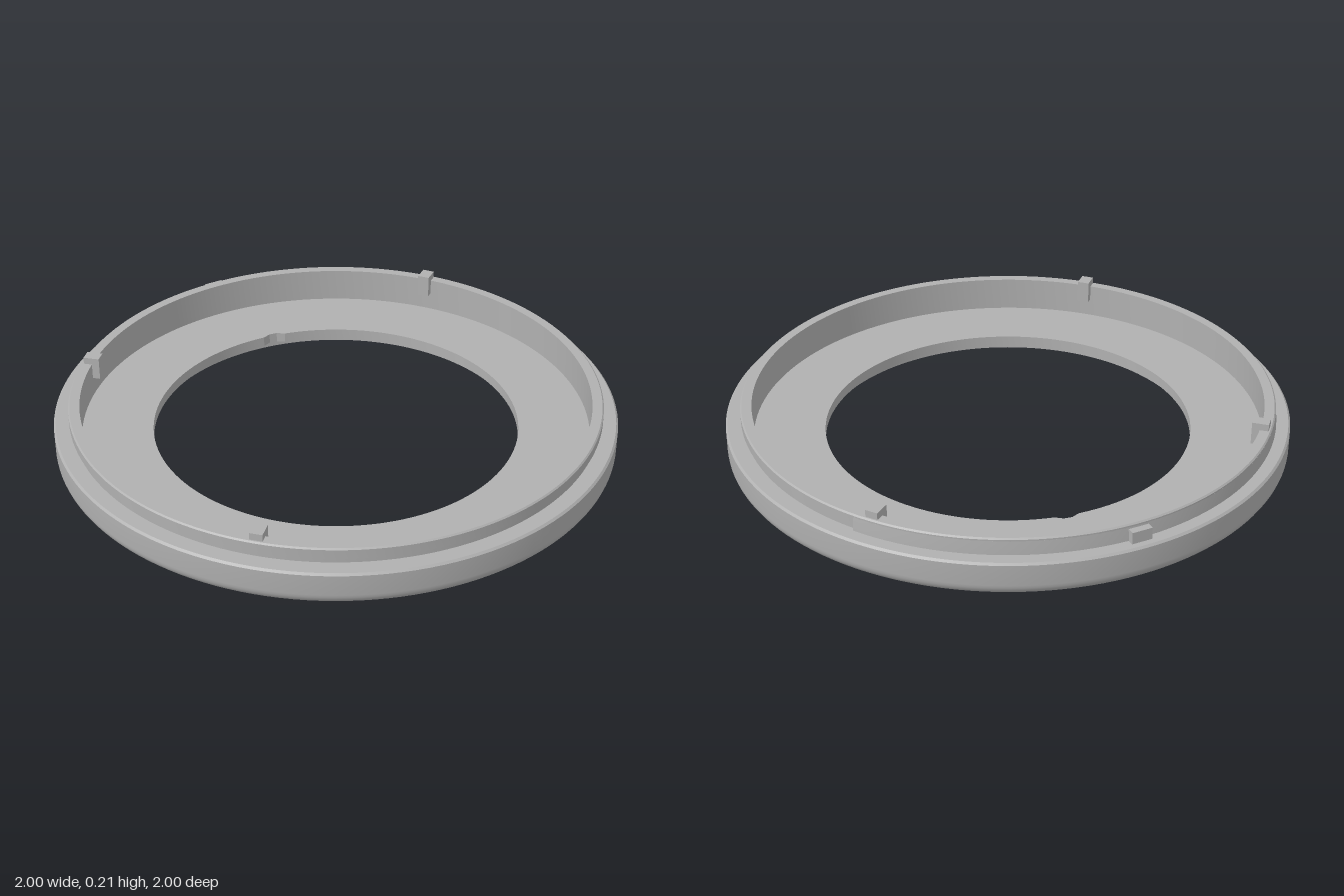
import * as THREE from 'three';
import { toCreasedNormals } from 'three/addons/utils/BufferGeometryUtils.js';

const SEGMENTS = 144;
const grey = new THREE.MeshStandardMaterial({ color: 0xb0b0b0 });
grey.name = 'grey';

function addMesh(parent, name, geometry) {
  const mesh = new THREE.Mesh(geometry, grey);
  mesh.name = name;
  parent.add(mesh);
  return mesh;
}

// Revolve a closed [radius, height] outline, keeping its corners sharp
function revolve(outline, segments = SEGMENTS, start = 0, length = Math.PI * 2) {
  const points = [...outline, outline[0]].map(([r, y]) => new THREE.Vector2(r, y));
  return toCreasedNormals(new THREE.LatheGeometry(points, segments, start, length), 0.45);
}

// Box centred on a radius, turned so that its depth points outward
function addRadialBox(parent, name, x, z, radius, y, size) {
  const angle = Math.atan2(x, z);
  const mesh = addMesh(parent, name, new THREE.BoxGeometry(...size));
  mesh.position.set(Math.sin(angle) * radius, y, Math.cos(angle) * radius);
  mesh.rotation.y = angle;
}

export function createModel() {
  const model = new THREE.Group();
  model.name = 'retainingRing';

  // Body: rounded lower edge, ledge, raised rim and recessed floor
  const corner = [];
  for (let i = 0; i <= 7; i++) {
    const a = (i / 7) * Math.PI / 2;
    corner.push([0.955 + 0.045 * Math.sin(a), 0.045 - 0.045 * Math.cos(a)]);
  }
  addMesh(model, 'body', revolve([
    [0.677, 0], ...corner,
    [1, 0.12], [0.993, 0.127],
    [0.938, 0.127], [0.938, 0.142], [0.946, 0.147],
    [0.946, 0.18], [0.941, 0.185],
    [0.906, 0.185], [0.906, 0.06],
    [0.7, 0.06], [0.7, 0.023], [0.677, 0.023],
  ]));

  // Inner lip around the opening, with a shallow notch
  const lip = new THREE.Shape();
  lip.absarc(0, 0, 0.7, 0, Math.PI * 2, false);
  const notchAngle = Math.atan2(0.38, -0.53);
  const opening = [];
  for (let i = 0; i < SEGMENTS; i++) {
    const a = notchAngle + ((i + 0.5) / SEGMENTS) * Math.PI * 2;
    const inNotch = i < 1 || i >= SEGMENTS - 1;
    const r = inNotch ? 0.667 : 0.653;
    opening.push(new THREE.Vector2(r * Math.cos(a), r * Math.sin(a)));
  }
  lip.holes.push(new THREE.Path(opening));
  const lipGeometry = new THREE.ExtrudeGeometry(lip, {
    depth: 0.037, bevelEnabled: false, curveSegments: SEGMENTS,
  });
  lipGeometry.rotateX(-Math.PI / 2);
  lipGeometry.translate(0, 0.023, 0);
  addMesh(model, 'innerLip', toCreasedNormals(lipGeometry, 0.3));

  // Thicker part of the rim foot on one side
  addMesh(model, 'rimRidge', revolve(
    [[0.93, 0.126], [0.951, 0.126], [0.949, 0.15], [0.946, 0.175], [0.93, 0.175]],
    48, THREE.MathUtils.degToRad(-174), THREE.MathUtils.degToRad(114),
  ));

  // Locking tabs on the rim
  for (const [x, z] of [[-0.155, -0.9], [-0.85, 0.315], [0.27, 0.865]]) {
    addRadialBox(model, 'lockingTab', x, z, 0.907, 0.169, [0.044, 0.082, 0.058]);
  }

  // Stop on the outside of the rim
  addRadialBox(model, 'rimStop', -0.85, -0.435, 0.954, 0.148, [0.072, 0.042, 0.036]);

  return model;
}
